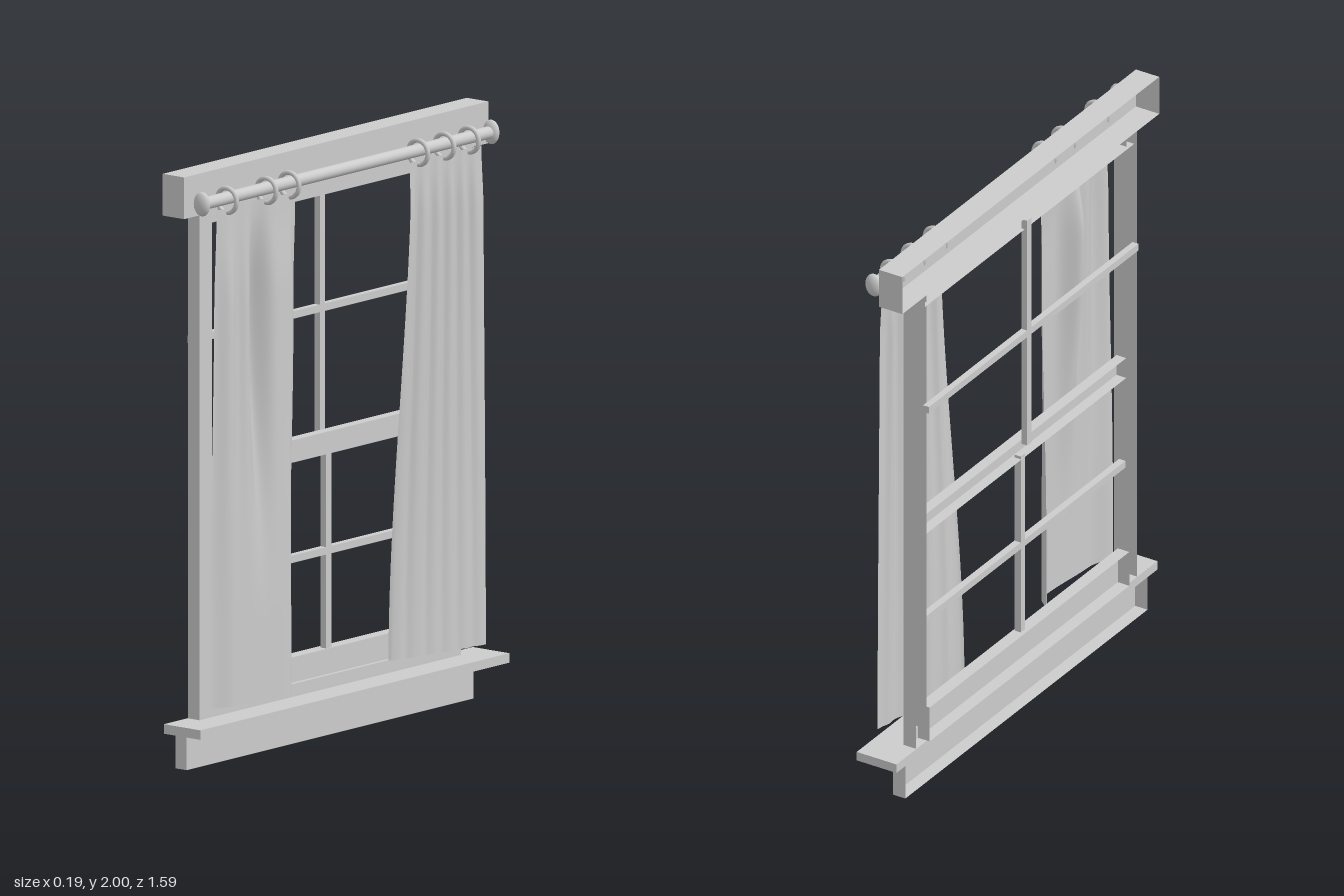
import * as THREE from 'three';

const material = new THREE.MeshStandardMaterial({ color: 0xcccccc });
const thinMaterial = new THREE.MeshStandardMaterial({ color: 0xcccccc, side: THREE.DoubleSide });
const ROD_X = 0.045, ROD_Y = 1.91;
const { lerp, smoothstep } = THREE.MathUtils;

export function createModel() {
  const model = new THREE.Group();
  model.name = 'curtainedWindow';

  function add(name, geometry, x = 0, y = 0, z = 0, mat = material) {
    const mesh = new THREE.Mesh(geometry, mat);
    mesh.name = name;
    mesh.position.set(x, y, z);
    model.add(mesh);
    return mesh;
  }
  // Box given by its limits on each axis
  function box(name, [x0, x1], [y0, y1], [z0, z1]) {
    return add(name, new THREE.BoxGeometry(x1 - x0, y1 - y0, z1 - z0),
      (x0 + x1) / 2, (y0 + y1) / 2, (z0 + z1) / 2);
  }
  // Box without its wall-side (-x) face
  function openBox(...args) {
    const mesh = box(...args);
    const index = Array.from(mesh.geometry.index.array);
    index.splice(6, 6);
    mesh.geometry.setIndex(index);
    mesh.geometry.clearGroups();
    mesh.material = thinMaterial;
  }

  // Fixed frame
  openBox('header', [-0.09, 0.001], [1.86, 2], [-0.785, 0.785]);
  box('sill', [-0.075, 0.08], [0.125, 0.157], [-0.797, 0.797]);
  openBox('apron', [-0.073, -0.025], [0, 0.125], [-0.74, 0.74]);
  openBox('topJamb', [-0.085, -0.03], [1.815, 1.857], [-0.64, 0.64]);
  box('bottomJamb', [-0.04, -0.025], [0.157, 0.2], [-0.672, 0.672]);
  for (const s of [-1, 1]) {
    const z = [s * 0.61, s * 0.675].sort((a, b) => a - b);
    openBox('sideCasing', [-0.073, -0.025], [0.157, 1.86], z);
  }

  // Sash rails and glazing bars
  openBox('bottomRail', [-0.085, -0.04], [0.157, 0.285], [-0.61, 0.61]);
  openBox('meetingRail', [-0.073, -0.035], [0.94, 1.015], [-0.61, 0.61]);
  box('upperCrossBar', [-0.095, -0.072], [1.41, 1.435], [-0.63, 0.65]);
  box('lowerCrossBar', [-0.07, -0.045], [0.6, 0.625], [-0.61, 0.61]);
  box('upperUprightBar', [-0.095, -0.072], [1.0, 1.85], [-0.03, -0.004]);
  box('lowerUprightBar', [-0.07, -0.045], [0.28, 0.95], [-0.03, -0.004]);

  // Curtain rod with flattened knobs
  add('rod', new THREE.CylinderGeometry(0.021, 0.021, 1.48, 24), ROD_X, ROD_Y, 0).rotation.x = Math.PI / 2;
  for (const s of [-1, 1]) {
    const knob = add('rodKnob', new THREE.SphereGeometry(0.041, 24, 16), ROD_X, ROD_Y, s * 0.746);
    knob.scale.set(0.78, 1, 0.45);
  }
  // Rings around the rod
  for (const z of [0.617, 0.413, 0.295, -0.37, -0.505, -0.632]) {
    add('curtainRing', new THREE.TorusGeometry(0.041, 0.008, 10, 32), ROD_X, ROD_Y - 0.008, z);
  }

  // Narrow backward crease centred at c, as a fraction of the cloth width
  const crease = (u, c, width) => Math.exp(-(((u - c) / width) ** 2));

  // Cloth grid: u runs along z, v from hem to rod; depth(u, v) sets x
  function curtain(name, hem, top, depth) {
    const geometry = new THREE.PlaneGeometry(1, 1, 80, 40);
    const p = geometry.attributes.position;
    for (let i = 0; i < p.count; i++) {
      const u = p.getX(i) + 0.5, v = p.getY(i) + 0.5;
      const t = Math.pow(v, 1.5);
      const z = lerp(lerp(hem[0], top[0], t), lerp(hem[1], top[1], t), u);
      p.setXYZ(i, depth(u, v), lerp(0.2, 1.875, v), z);
    }
    geometry.computeVertexNormals();
    add(name, geometry, 0, 0, 0, thinMaterial);
  }

  // Left hanging: swell leaning to its inner edge, deep central fold below the rod
  curtain('broadCurtain', [0.678, 0.25], [0.668, 0.262], (u, v) => {
    const swell = 0.022 + 0.03 * smoothstep(u, 0, 0.22) + 0.022 * smoothstep(u, 0.15, 0.78)
      - 0.065 * smoothstep(u, 0.82, 1);
    const gathered = 0.035 + 0.027 * smoothstep(u, 0, 0.15) - 0.07 * crease(u, 0.53, 0.1)
      - 0.02 * crease(u, 0.27, 0.07) - 0.03 * smoothstep(u, 0.88, 1);
    const loose = lerp(swell, gathered, smoothstep(v, 0.15, 0.8));
    return lerp(loose, 0.045, 0.8 * smoothstep(v, 0.8, 1));
  });
  // Right hanging: finer pleats, inner edge swept back at the hem
  curtain('pleatedCurtain', [-0.295, -0.698], [-0.322, -0.69], (u, v) => {
    const sweep = lerp(lerp(-0.02, 0.062, Math.pow(u, 0.6)), 0.057, smoothstep(v, 0, 1));
    let folds = 0;
    for (const c of [0.13, 0.33, 0.5, 0.67, 0.84]) folds += crease(u, c + 0.03 * (1 - v), 0.045);
    const loose = sweep - (0.006 + 0.014 * v) * folds;
    return lerp(loose, 0.047, 0.75 * smoothstep(v, 0.88, 1));
  });

  return model;
}
